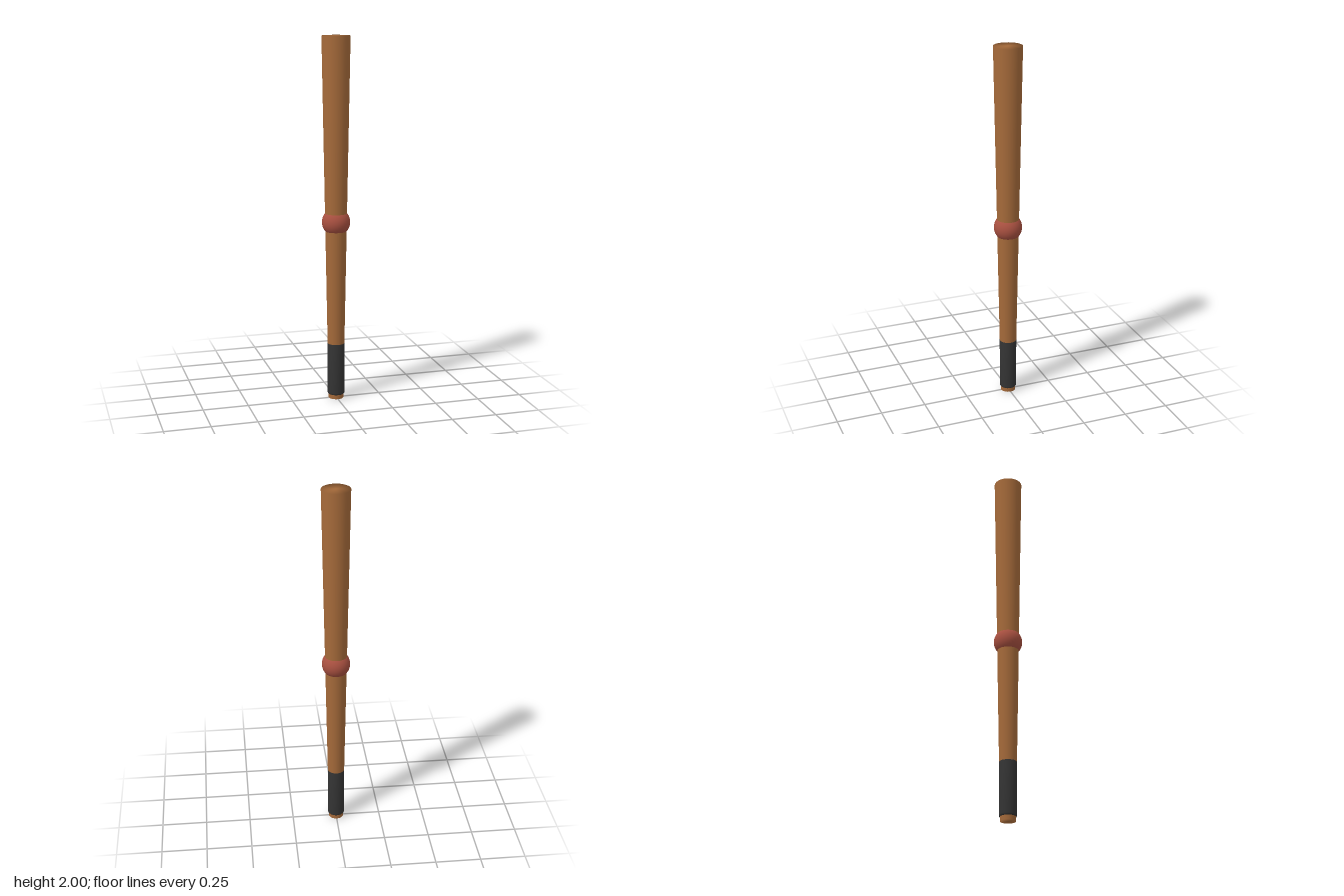
import * as THREE from 'three';

export function createModel() {
  const group = new THREE.Group();
  const wood = new THREE.MeshStandardMaterial({ color: 0xa56a3a });
  const red = new THREE.MeshStandardMaterial({ color: 0xa85040 });
  const black = new THREE.MeshStandardMaterial({ color: 0x333333 });
  wood.name = 'wood';
  red.name = 'red';
  black.name = 'black';

  const add = (name, geometry, material) => {
    const mesh = new THREE.Mesh(geometry, material);
    mesh.name = name;
    group.add(mesh);
    return mesh;
  };
  // Solid of revolution from [radius, height] pairs, bottom to top
  const turned = (points) =>
    new THREE.LatheGeometry(points.map(([r, y]) => new THREE.Vector2(r, y)), 32);

  // Tapered shaft, its ends shaded softly into the sides
  add('shaft', turned([[0, 0], [0.041, 0], [0.077, 2], [0, 2]]), wood);

  // Ball around the middle of the shaft
  add('middleBall', new THREE.SphereGeometry(0.077, 32, 20), red).position.y = 1;

  // Straight grip sleeve, its top sinking into the widening shaft
  add('grip', turned([[0, 0.024], [0.043, 0.024], [0.0465, 0.028], [0.0467, 0.034], [0.0467, 0.37], [0, 0.37]]), black);

  return group;
}
